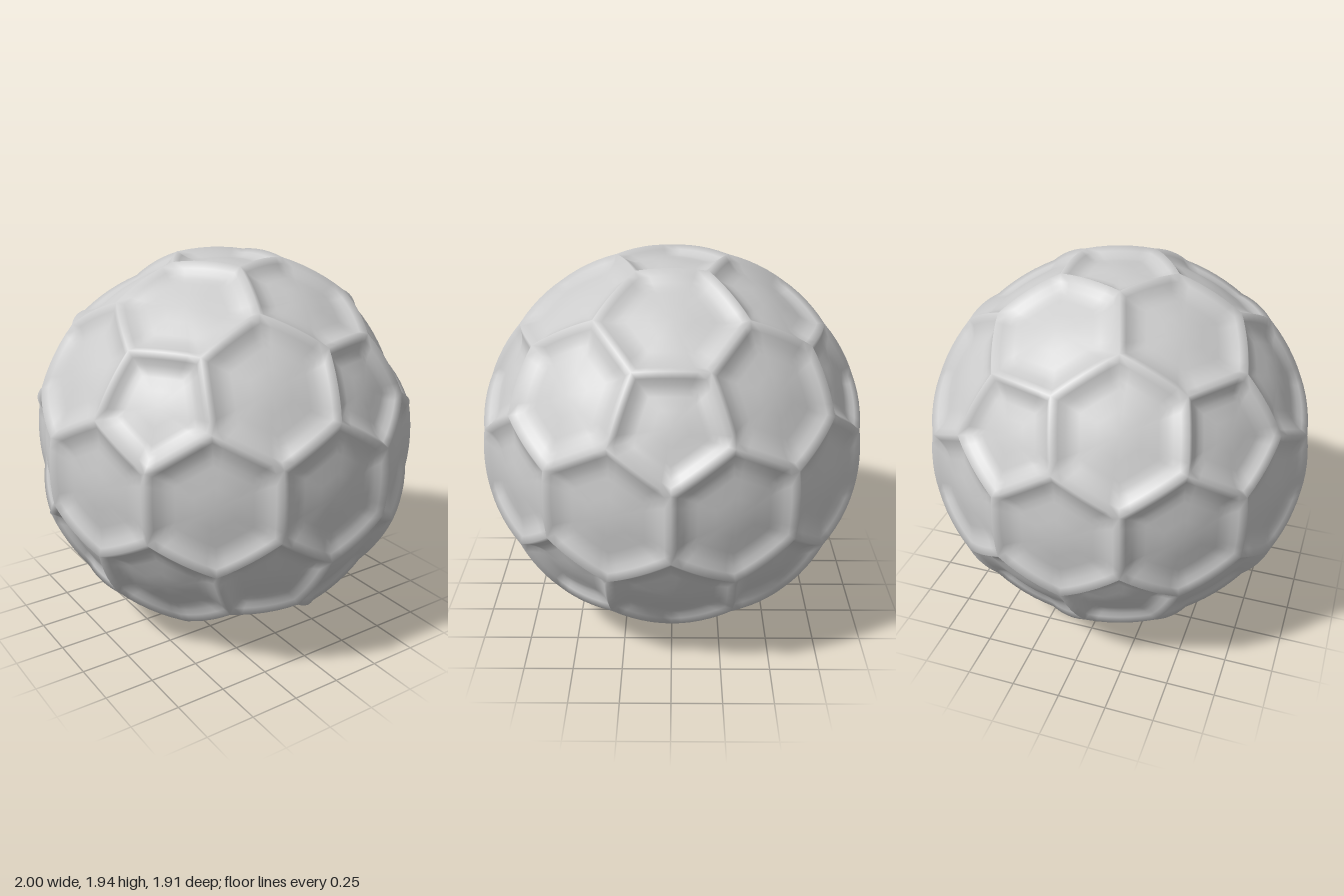
import * as THREE from 'three';
import { mergeVertices } from 'three/addons/utils/BufferGeometryUtils.js';

const CORNER = THREE.MathUtils.degToRad(17.2);      // pentagon centre to corner
const DEPTH = 0.06;                                 // how far panel floors sit below the ridges
const WALL = 0.42;                                  // share of the panel radius taken by its wall
const RINGS = [0, 0.3, 0.58, 0.7, 0.8, 0.9, 1];
const EDGE_STEPS = 6;

// The twelve pentagon centres: two poles and two staggered rings of five
function pentagonCentres() {
  const centres = [new THREE.Vector3(0, 1, 0), new THREE.Vector3(0, -1, 0)];
  const h = 1 / Math.sqrt(5);
  for (let i = 0; i < 5; i++) {
    for (const s of [1, -1]) {
      const a = i * Math.PI * 2 / 5 + (s < 0 ? Math.PI : 0);
      centres.push(new THREE.Vector3(2 * h * Math.cos(a), s * h, 2 * h * Math.sin(a)));
    }
  }
  return centres;
}

// Sort corners counter-clockwise as seen from outside
function sortAround(corners, normal) {
  const u = corners[0].clone().projectOnPlane(normal).normalize();
  const v = normal.clone().cross(u);
  const angle = (p) => Math.atan2(p.dot(v), p.dot(u));
  return corners.slice().sort((a, b) => angle(a) - angle(b));
}

// Sunken panel: rings run from a rounded floor up a curved wall to ridges on the unit sphere
function addPanel(corners, out) {
  const centre = corners.reduce((s, p) => s.add(p), new THREE.Vector3()).divideScalar(corners.length);
  const sorted = sortAround(corners, centre.clone().normalize());
  const rim = [];
  sorted.forEach((p, i) => {
    const q = sorted[(i + 1) % sorted.length];
    for (let k = 0; k < EDGE_STEPS; k++) rim.push(p.clone().lerp(q, k / EDGE_STEPS));
  });
  const at = (i, t) => {
    const rise = Math.max(0, 1 - (1 - t) / WALL);
    return centre.clone().lerp(rim[i % rim.length], t).setLength(1 - DEPTH * (1 - rise * rise));
  };
  for (let i = 0; i < rim.length; i++) {
    for (let r = 1; r < RINGS.length; r++) {
      const a = at(i, RINGS[r - 1]), b = at(i, RINGS[r]);
      const c = at(i + 1, RINGS[r]), d = at(i + 1, RINGS[r - 1]);
      const tris = r === 1 ? [a, b, c] : [a, b, c, a, c, d];
      tris.forEach((p) => out.push(p.x, p.y, p.z));
    }
  }
}

export function createModel() {
  const group = new THREE.Group();
  group.name = 'dimpledBall';
  const centres = pentagonCentres();
  const adjacent = (a, b) => a !== b && a.dot(b) > 0.4;
  const junction = (a, b, c) => a.clone().add(b).add(c).normalize();
  const corner = (p, g) => {
    const side = g.clone().projectOnPlane(p).normalize();
    return p.clone().multiplyScalar(Math.cos(CORNER)).addScaledVector(side, Math.sin(CORNER));
  };

  const positions = [];
  centres.forEach((p, i) => {
    const around = centres.filter((q) => adjacent(p, q));
    // Pentagon panel
    const pentagon = [];
    around.forEach((a, k) => around.slice(k + 1).forEach((b) => {
      if (adjacent(a, b)) pentagon.push(corner(p, junction(p, a, b)));
    }));
    addPanel(pentagon, positions);
    // Hexagon panel between each neighbouring pair of pentagons
    centres.slice(i + 1).filter((q) => adjacent(p, q)).forEach((q) => {
      const hexagon = [];
      centres.filter((c) => adjacent(c, p) && adjacent(c, q)).forEach((c) => {
        const g = junction(p, q, c);
        hexagon.push(corner(p, g), corner(q, g), g);
      });
      addPanel(hexagon, positions);
    });
  });

  // Weld the panels so the ridges shade smoothly
  let geometry = new THREE.BufferGeometry();
  geometry.setAttribute('position', new THREE.Float32BufferAttribute(positions, 3));
  geometry = mergeVertices(geometry, 1e-4);
  geometry.computeVertexNormals();
  geometry.computeBoundingBox();
  geometry.translate(0, -geometry.boundingBox.min.y, 0);

  const shell = new THREE.Mesh(geometry, new THREE.MeshStandardMaterial({ color: 0xcccccc }));
  shell.name = 'dimpledShell';
  group.add(shell);
  return group;
}
